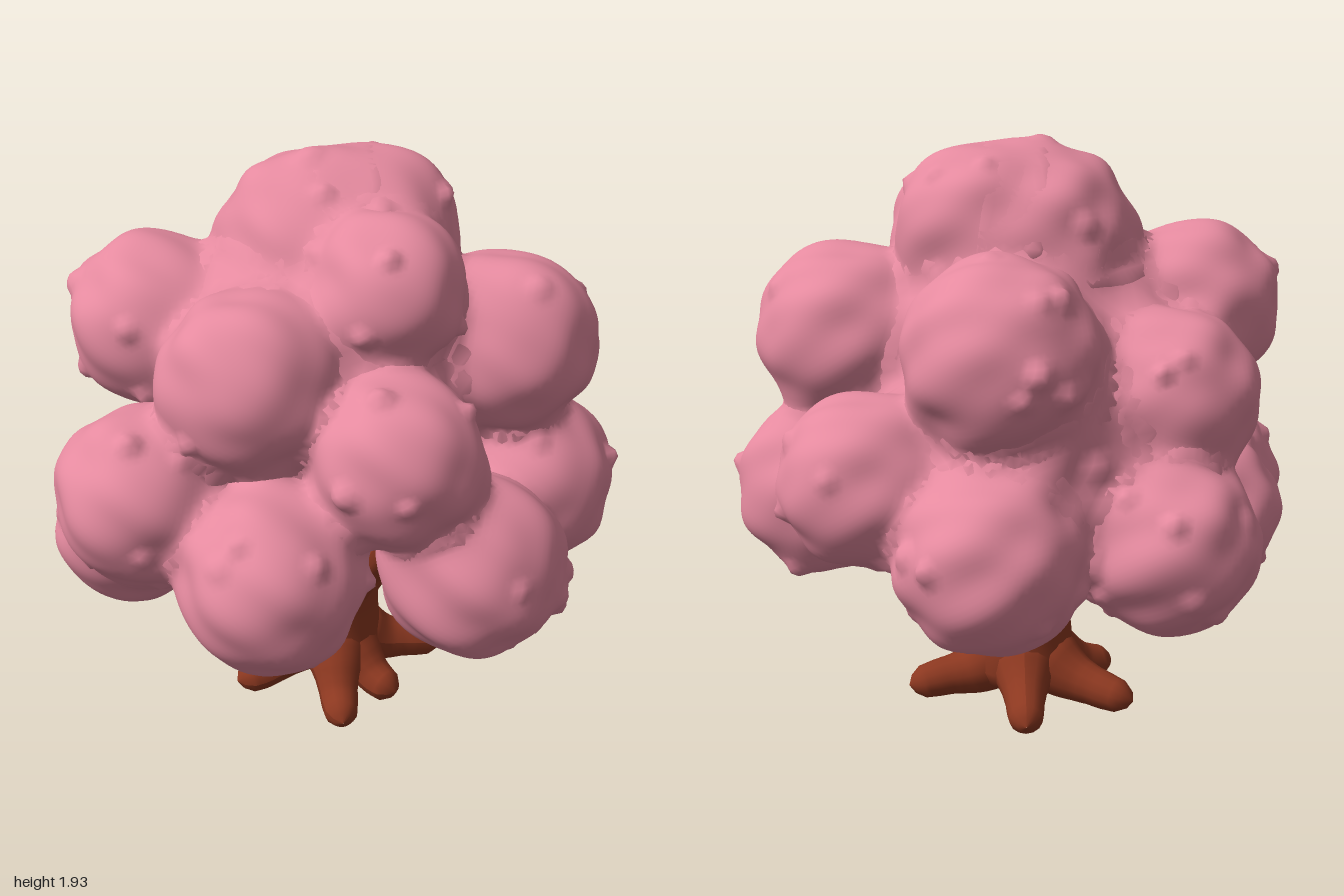
import * as THREE from 'three';
import { mergeVertices } from 'three/addons/utils/BufferGeometryUtils.js';

const blossom = new THREE.MeshStandardMaterial({ color: 0xe58a9f });
blossom.name = 'blossom pink';
const bark = new THREE.MeshStandardMaterial({ color: 0x8c3820 });
bark.name = 'bark brown';

// foliage clumps: x, y, z, radius
const clumps = [
  // lower ring
  [0.04, 0.985, 0.725, 0.265], [-0.21, 0.73, 0.59, 0.265], [-0.44, 0.715, 0.36, 0.25],
  [-0.71, 0.775, -0.09, 0.272], [0.45, 0.805, 0.53, 0.285], [0.69, 0.755, -0.07, 0.292],
  [0.42, 0.79, -0.54, 0.285], [-0.02, 0.955, -0.715, 0.272], [-0.45, 0.78, -0.59, 0.285],
  [0.0, 0.87, 0.65, 0.21],
  // middle ring
  [-0.555, 1.18, 0.07, 0.268], [0.6, 1.155, 0.16, 0.262], [-0.31, 1.375, 0.43, 0.272],
  [0.21, 1.345, 0.43, 0.278], [0.395, 1.305, -0.45, 0.288], [-0.365, 1.365, -0.46, 0.3],
  // crown
  [-0.05, 1.615, 0.0, 0.29], [0.36, 1.59, 0.01, 0.235], [0.07, 1.66, -0.17, 0.255],
  // cores that fill the valleys
  [0, 1.18, 0, 0.51], [0, 1.0, -0.06, 0.42], [-0.28, 1.02, -0.25, 0.38],
].map(([x, y, z, r]) => ({ c: new THREE.Vector3(x, y, z), r }));

function seeded(seed) {
  let s = seed;
  return () => (s = (s * 16807) % 2147483647) / 2147483647;
}

// distance to the softly blended union of all clumps
const BLEND = 0.034;
function foliageDistance(p) {
  let sum = 0;
  for (const b of clumps) sum += Math.exp(-(p.distanceTo(b.c) - b.r) / BLEND);
  return -BLEND * Math.log(sum);
}

function lump(p) {
  return 0.011 * Math.sin(p.x * 17 + p.y * 9) * Math.sin(p.y * 15 - p.z * 11 + 1)
    + 0.006 * Math.sin(p.z * 29 + p.x * 13 + 2) * Math.sin(p.y * 27 + p.x * 8);
}

// a sphere pulled out to the blended surface, with lumps and small knobs
function clumpGeometry({ c, r }, rand) {
  let geo = new THREE.IcosahedronGeometry(1, 14);
  geo.deleteAttribute('uv');
  geo.deleteAttribute('normal');
  geo = mergeVertices(geo, 1e-4);
  const knobs = Array.from({ length: 9 }, () => ({
    dir: new THREE.Vector3(rand() - 0.5, rand() - 0.5, rand() - 0.5).normalize(),
    height: 0.01 + 0.018 * rand(),
    width: 0.09 + 0.05 * rand(),
  }));
  const pos = geo.attributes.position;
  const dir = new THREE.Vector3(), p = new THREE.Vector3();
  for (let i = 0; i < pos.count; i++) {
    dir.fromBufferAttribute(pos, i).normalize();
    let R = r;
    for (let k = 0; k < 7; k++) {
      p.copy(c).addScaledVector(dir, R);
      R = Math.min(R - foliageDistance(p), r + 0.075);
    }
    p.copy(c).addScaledVector(dir, R);
    R += lump(p);
    for (const k of knobs) R += k.height * Math.exp(-Math.pow(dir.angleTo(k.dir) / k.width, 4));
    p.copy(c).addScaledVector(dir, R);
    pos.setXYZ(i, p.x, p.y, p.z);
  }
  geo.computeVertexNormals();
  return geo;
}

// a tube whose radius follows a list of values along its path
function limb(name, points, radii) {
  const curve = new THREE.CatmullRomCurve3(points.map((q) => new THREE.Vector3(...q)));
  const N = 24, S = 14;
  const geo = new THREE.TubeGeometry(curve, N, 1, S);
  const pos = geo.attributes.position;
  const v = new THREE.Vector3();
  for (let i = 0; i <= N; i++) {
    const center = curve.getPointAt(i / N);
    const f = (i / N) * (radii.length - 1), a = Math.min(Math.floor(f), radii.length - 2);
    const rad = i === N ? 0.001 : THREE.MathUtils.lerp(radii[a], radii[a + 1], f - a);
    for (let j = 0; j <= S; j++) {
      const n = i * (S + 1) + j;
      v.fromBufferAttribute(pos, n).sub(center).multiplyScalar(rad).add(center);
      pos.setXYZ(n, v.x, Math.max(v.y, 0), v.z);
    }
  }
  geo.computeVertexNormals();
  const mesh = new THREE.Mesh(geo, bark);
  mesh.name = name;
  return mesh;
}

export function createModel() {
  const tree = new THREE.Group();
  tree.name = 'tree';

  // trunk
  const cx = 0.02, cz = -0.03;
  const profile = [[0, 0.07], [0.1, 0.07], [0.16, 0.1], [0.18, 0.15], [0.17, 0.22], [0.162, 0.3],
    [0.165, 0.38], [0.178, 0.46], [0.19, 0.52], [0.15, 0.58], [0, 0.62]];
  const trunk = new THREE.Mesh(
    new THREE.LatheGeometry(profile.map(([x, y]) => new THREE.Vector2(x, y)), 32), bark);
  trunk.name = 'trunk';
  trunk.position.set(cx, 0, cz);
  tree.add(trunk);

  // path point a fraction t of the way from the trunk axis to (x, z)
  const along = (x, z) => (t, h) => [cx + (x - cx) * t, h, cz + (z - cz) * t];

  // roots: tip x, tip z, tip height
  const roots = new THREE.Group();
  roots.name = 'roots';
  [[-0.38, 0.1, 0.08], [-0.05, 0.32, 0.06], [0.335, 0.16, 0.035], [0.32, -0.08, 0.05],
    [0.21, -0.375, 0.09], [-0.27, -0.28, 0.07]].forEach(([x, z, y]) => {
    const at = along(x, z);
    roots.add(limb('root', [at(0.1, 0.2), at(0.42, 0.13), at(0.7, y + 0.02), at(1, y)],
      [0.09, 0.11, 0.105, 0.09, 0.075, 0.066, 0.062, 0.055, 0.02]));
  });
  tree.add(roots);

  // branches reaching into the foliage: end x, y, z, thickness
  const branches = new THREE.Group();
  branches.name = 'branches';
  [[0.26, 0.76, 0.36, 0.75], [0.36, 0.74, -0.06, 1], [0.2, 0.74, -0.4, 1.05],
    [-0.3, 0.74, -0.36, 0.95], [-0.22, 0.74, 0.2, 1]].forEach(([x, y, z, w]) => {
    const at = along(x, z);
    branches.add(limb('branch', [at(0.1, 0.34), at(0.36, 0.47), at(0.68, 0.58), at(1, y)],
      [0.1, 0.095, 0.08, 0.065, 0.058, 0.055].map((r) => r * w)));
  });
  tree.add(branches);

  // foliage
  const foliage = new THREE.Group();
  foliage.name = 'foliage';
  const rand = seeded(4711);
  for (const b of clumps) {
    const mesh = new THREE.Mesh(clumpGeometry(b, rand), blossom);
    mesh.name = 'blossom clump';
    foliage.add(mesh);
  }
  tree.add(foliage);
  return tree;
}
